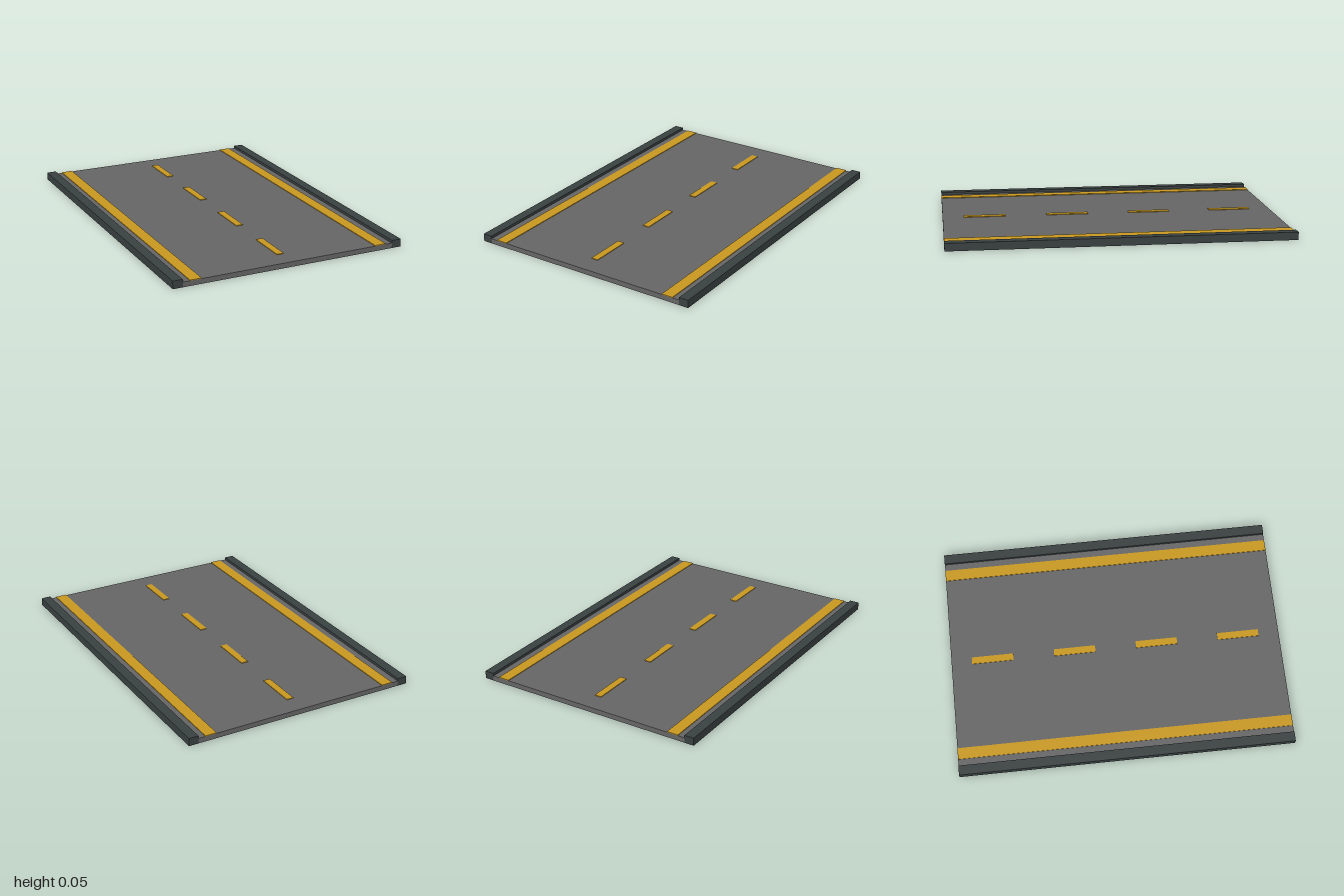
import * as THREE from 'three';

const mat = (name, color) => {
  const m = new THREE.MeshStandardMaterial({ color });
  m.name = name;
  return m;
};

export function createModel() {
  const model = new THREE.Group();
  model.name = 'roadSegment';
  const asphalt = mat('asphalt grey', 0x666666);
  const paint = mat('road paint yellow', 0xc8981f);
  const curb = mat('curb dark grey', 0x3a4141);

  // Box sized w x h x d, standing on height y
  const addBox = (name, material, [w, h, d], [x, y, z]) => {
    const mesh = new THREE.Mesh(new THREE.BoxGeometry(w, h, d), material);
    mesh.name = name;
    mesh.position.set(x, y + h / 2, z);
    model.add(mesh);
  };

  const roadTop = 0.03;
  const paintHeight = 0.004;

  // Road slab between the curbs
  addBox('roadSurface', asphalt, [1.3, roadTop, 2], [0, 0, 0]);

  // Curbs and solid edge lines on both sides
  for (const [side, s] of [['left', 1], ['right', -1]]) {
    addBox(`${side}Curb`, curb, [0.058, 0.046, 2], [s * 0.679, 0, 0]);
    addBox(`${side}EdgeLine`, paint, [0.068, paintHeight, 2], [s * 0.574, roadTop, 0]);
  }

  // Dashed centre line
  for (let i = 0; i < 4; i++) {
    addBox(`centreDash${i + 1}`, paint, [0.042, paintHeight, 0.252], [0, roadTop, -0.75 + i * 0.5]);
  }

  return model;
}
